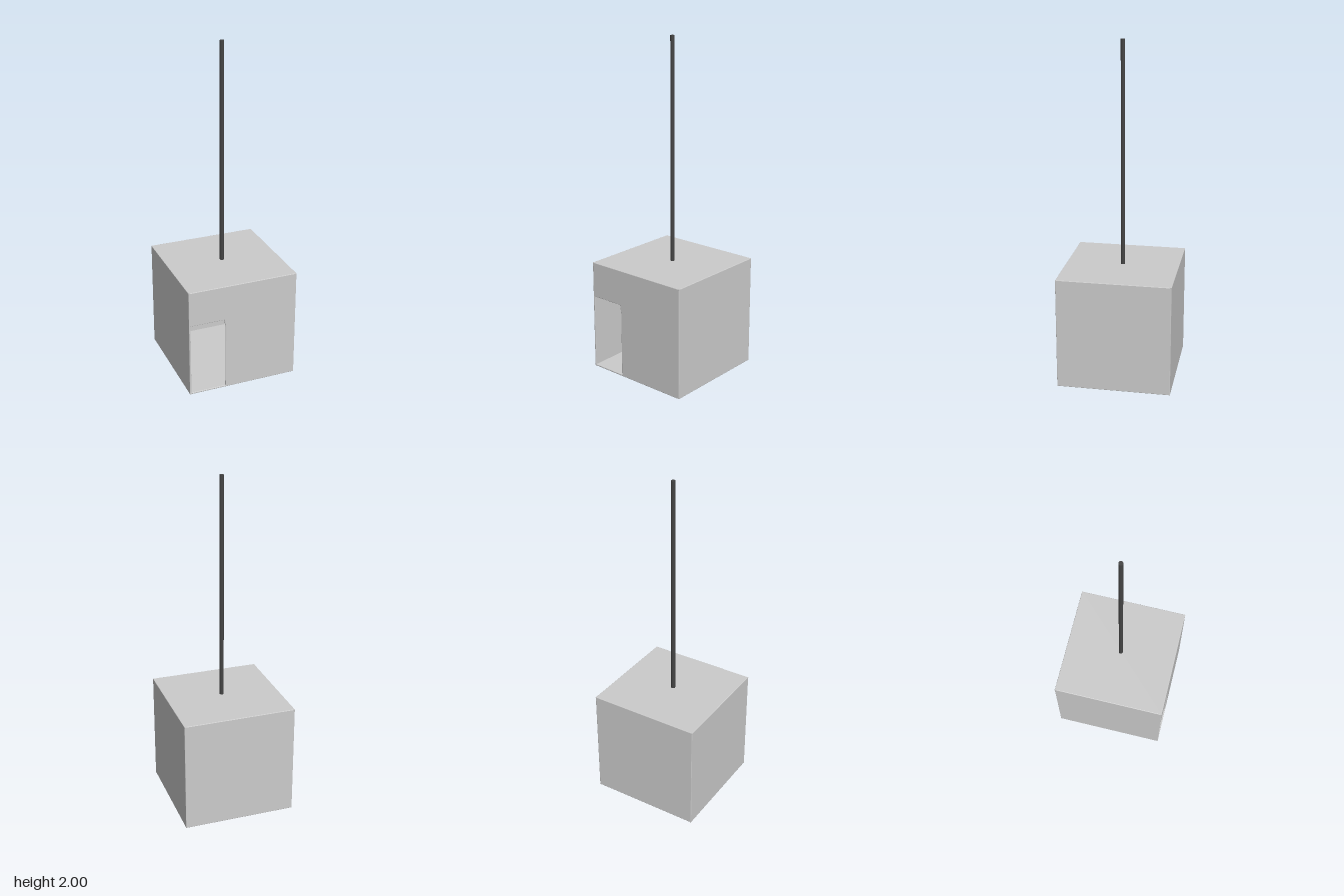
import * as THREE from 'three';

const SIZE = 0.67, HALF = SIZE / 2, WALL = 0.01, BEVEL = 0.003;

const grey = new THREE.MeshStandardMaterial({ color: 0xcccccc });
const dark = new THREE.MeshStandardMaterial({ color: 0x444444 });

// Square panel with softened edges, its outer face at z = HALF
function panelGeometry(hole) {
  const shape = new THREE.Shape([
    new THREE.Vector2(-HALF, -HALF), new THREE.Vector2(HALF, -HALF),
    new THREE.Vector2(HALF, HALF), new THREE.Vector2(-HALF, HALF),
  ]);
  if (hole) shape.holes.push(hole);
  const geometry = new THREE.ExtrudeGeometry(shape, {
    depth: WALL - 2 * BEVEL, bevelEnabled: true, bevelThickness: BEVEL,
    bevelSize: BEVEL, bevelOffset: -BEVEL, bevelSegments: 2,
  });
  return geometry.translate(0, 0, HALF - WALL + BEVEL);
}

export function createModel() {
  const model = new THREE.Group();
  model.name = 'boxOnPole';

  // Hollow cube made of six thin panels
  const box = new THREE.Group();
  box.name = 'hollowBox';
  box.position.y = HALF;
  model.add(box);

  // Doorway reaching from the floor and side wall, with a clipped top corner
  const doorway = new THREE.Path([
    [-0.325, 0.01], [-0.325, 0.455], [-0.118, 0.455], [-0.11, 0.41], [-0.11, 0.01],
  ].map(([x, y]) => new THREE.Vector2(x, y - HALF)));

  const quarter = Math.PI / 2;
  const panels = [
    ['frontWall', 0, 0, doorway],
    ['leftWall', 0, quarter],
    ['backWall', 0, Math.PI],
    ['rightWall', 0, -quarter],
    ['roof', -quarter, 0],
    ['floor', quarter, 0],
  ];
  for (const [name, rx, ry, hole] of panels) {
    const panel = new THREE.Mesh(panelGeometry(hole), grey);
    panel.name = name;
    panel.rotation.set(rx, ry, 0);
    box.add(panel);
  }

  // Thin upright pole on the roof
  const pole = new THREE.Mesh(new THREE.CylinderGeometry(0.0125, 0.0125, 2 - SIZE, 32), dark);
  pole.name = 'pole';
  pole.position.y = (2 + SIZE) / 2;
  model.add(pole);

  return model;
}
